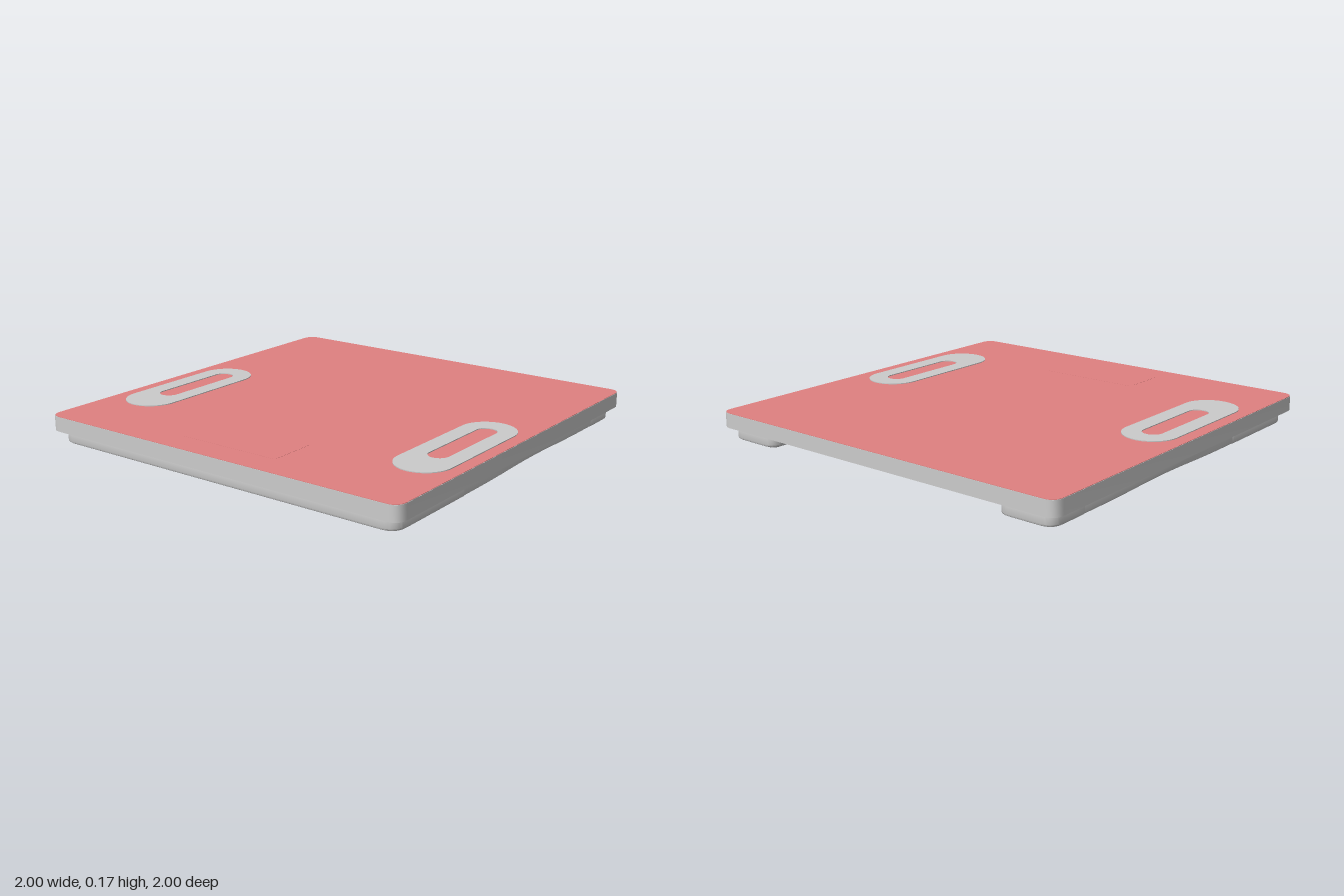
import * as THREE from 'three';
import { toCreasedNormals } from 'three/addons/utils/BufferGeometryUtils.js';

const grey = new THREE.MeshStandardMaterial({ color: 0xcccccc });
const red = new THREE.MeshStandardMaterial({ color: 0xe08080 });

// Closed outline through [x, z, radius] corners, each rounded by a curve.
function outline(corners) {
  const shape = new THREE.Shape();
  const n = corners.length;
  const toward = (a, b, r) => {
    const d = Math.hypot(b[0] - a[0], b[1] - a[1]);
    return [a[0] + (b[0] - a[0]) * r / d, a[1] + (b[1] - a[1]) * r / d];
  };
  corners.forEach((c, i) => {
    const start = toward(c, corners[(i + n - 1) % n], c[2]);
    const end = toward(c, corners[(i + 1) % n], c[2]);
    if (i === 0) shape.moveTo(...start);
    else shape.lineTo(...start);
    shape.quadraticCurveTo(c[0], c[1], ...end);
  });
  shape.closePath();
  return shape;
}

const rect = (x0, x1, z0, z1, r) => outline([[x0, z0, r], [x1, z0, r], [x1, z1, r], [x0, z1, r]]);

// Stadium outline, for the grips and their openings.
function stadium(x0, x1, r, PathType) {
  const p = new PathType();
  p.absarc(x1 - r, 0, r, -Math.PI / 2, Math.PI / 2);
  p.absarc(x0 + r, 0, r, Math.PI / 2, Math.PI * 1.5);
  p.closePath();
  return p;
}

function extrude(shape, depth, bevel) {
  return new THREE.ExtrudeGeometry(shape, {
    depth: depth - 2 * bevel, bevelEnabled: bevel > 0, bevelSize: bevel,
    bevelThickness: bevel, bevelOffset: -bevel, bevelSegments: 3, curveSegments: 12,
  }).translate(0, 0, bevel);
}

// Horizontal slab from height y0 to y1.
function slab(name, shape, y0, y1, bevel = 0, material = grey) {
  const geo = extrude(shape, y1 - y0, bevel).rotateX(-Math.PI / 2).translate(0, y0, 0);
  const mesh = new THREE.Mesh(toCreasedNormals(geo, 0.6), material);
  mesh.name = name;
  return mesh;
}

export function createModel() {
  const model = new THREE.Group();
  model.name = 'floorScale';

  // Platform with its coloured top face
  const plate = rect(-1, 1, -1, 1, 0.06);
  model.add(slab('platform', plate, 0.09, 0.163));
  model.add(slab('platformTop', rect(-0.998, 0.998, -0.998, 0.998, 0.06), 0.163, 0.165, 0, red));
  model.add(slab('displayWindow', rect(-0.86, -0.62, -0.27, 0.27, 0.01), 0.164, 0.1657, 0, red));

  // Grip rings on the top
  for (const side of [-1, 1]) {
    const ring = stadium(-0.65, 0.15, 0.135, THREE.Shape);
    ring.holes.push(stadium(-0.45, 0.05, 0.05, THREE.Path));
    const grip = slab('gripRing', ring, 0.164, 0.169);
    grip.position.z = side * 0.8;
    model.add(grip);
  }

  // Underside: thin panel and the deep housing beneath the display
  model.add(slab('undersidePanel', rect(-0.96, 0.96, -0.96, 0.96, 0.08), 0.08, 0.095));
  model.add(slab('housing', outline([
    [-0.965, -0.965, 0.08], [-0.44, -0.965, 0.02], [-0.44, -0.86, 0.02], [-0.47, -0.82, 0.02],
    [-0.47, -0.345, 0.02], [-0.42, -0.32, 0.02], [-0.42, 0.32, 0.02], [-0.47, 0.345, 0.02],
    [-0.47, 0.82, 0.02], [-0.44, 0.86, 0.02], [-0.44, 0.965, 0.02], [-0.965, 0.965, 0.08],
  ]), 0.03, 0.1, 0.01));

  for (const side of [-1, 1]) {
    // Arched side rails
    const profile = new THREE.Shape();
    profile.moveTo(-0.55, 0.1);
    profile.lineTo(-0.55, 0.031);
    profile.lineTo(-0.4, 0.031);
    profile.bezierCurveTo(-0.1, 0.031, -0.05, 0.04, 0.15, 0.04);
    profile.bezierCurveTo(0.35, 0.04, 0.4, 0.031, 0.7, 0.031);
    profile.lineTo(0.8, 0.031);
    profile.lineTo(0.8, 0.1);
    profile.closePath();
    const geo = extrude(profile, 0.113, 0.009).translate(0, 0, side > 0 ? 0.85 : -0.963);
    const rail = new THREE.Mesh(toCreasedNormals(geo, 0.6), grey);
    rail.name = 'sideRail';
    model.add(rail);

    // Corner pods at the open end of the rails
    const pod = slab('cornerPod', rect(0.7, 0.965, -0.145, 0.145, 0.07), 0.03, 0.1, 0.01);
    pod.position.z = side * 0.82;
    model.add(pod);

    // Feet
    for (const end of [-1, 1]) {
      const foot = new THREE.Group();
      foot.name = 'foot';
      foot.add(slab('footCollar', rect(-0.077, 0.077, -0.08, 0.08, 0.04), 0.012, 0.035, 0.004));
      foot.add(slab('footPad', rect(-0.067, 0.067, -0.07, 0.07, 0.035), 0, 0.02, 0.004));
      foot.position.set(end * 0.83, 0, side * 0.825);
      model.add(foot);
    }
  }

  // Battery cover with its latch, and a small unit button
  model.add(slab('batteryCover', rect(-0.92, -0.49, 0.48, 0.68, 0.01), 0.028, 0.035));
  model.add(slab('batteryLatch', rect(-0.74, -0.66, 0.45, 0.51, 0.02), 0.025, 0.035, 0.002));
  const button = new THREE.Mesh(new THREE.CylinderGeometry(0.015, 0.015, 0.01, 20), grey);
  button.name = 'unitButton';
  button.position.set(-0.63, 0.031, 0.41);
  model.add(button);

  return model;
}
